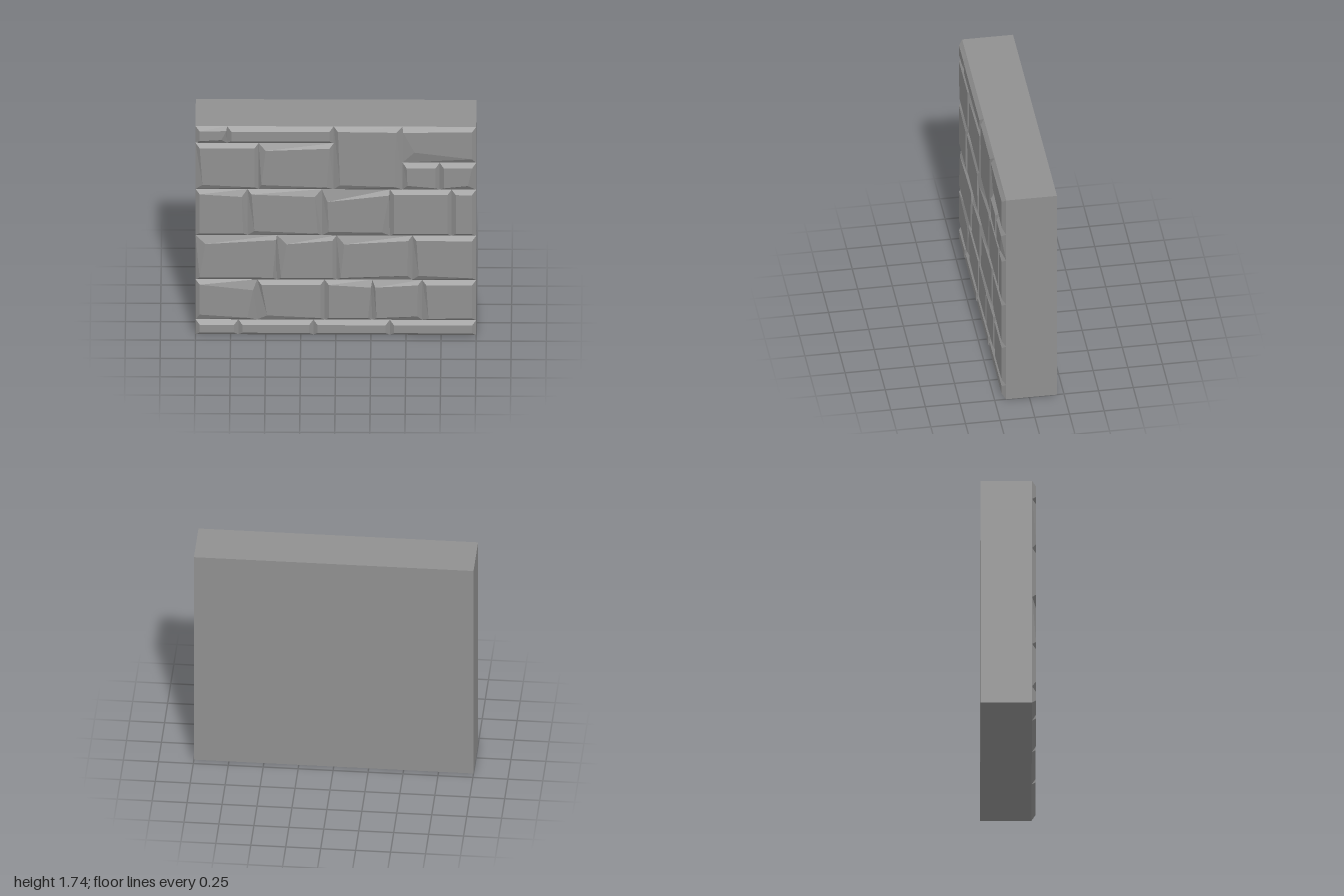
import * as THREE from 'three';

const WALL_FRONT = 0.167, WALL_BACK = -0.2, HEIGHT = 1.74;
const CHAMFER = [0.03, 0.03]; // usual inset of a stone's face corners

// Each course: height range, joint positions, and for the rougher stones
// the corners (b/t = bottom/top, l/r = -x/+x) whose chamfer is wider or narrower
const courses = [
  { y: [0, 0.125], x: [-1, -0.695, -0.16, 0.385, 1], chips: [] },
  {
    y: [0.125, 0.46], x: [-1, -0.56, -0.08, 0.26, 0.615, 1],
    chips: [{ bl: [0.03, 0.055], br: [0.07, 0.03], tr: [0.03, 0.075] }, { bl: [0.07, 0.05] },
      { tr: [0.01, 0.05] }, { br: [0.035, 0.045], tl: [0.02, 0.05] }, { bl: [0.045, 0.025] }],
  },
  {
    y: [0.46, 0.83], x: [-1, -0.42, 0.005, 0.545, 1],
    chips: [{ tl: [0.07, 0.06], tr: [0.005, 0.025] }, { tl: [0.07, 0.06] },
      { br: [0.035, 0.05], tl: [0.055, 0.06] }, { bl: [0.045, 0.05] }],
  },
  {
    y: [0.83, 1.215], x: [-1, -0.63, -0.1, 0.385, 0.825, 1],
    chips: [{ tr: [0.04, 0.05] }, { bl: [0.05, 0.05], tr: [0.05, 0.05] },
      { bl: [0.05, 0.045], br: [0.055, 0.04], tr: [0.005, 0.035], tl: [0.04, 0.09] }],
  },
  {
    y: [1.215, 1.6], x: [-1, -0.55, -0.015],
    chips: [{ bl: [0.05, 0.05] }, { bl: [0.02, 0.05], br: [0.05, 0.03], tl: [0.05, 0.05] }],
  },
  // tall stone spanning two courses
  { y: [1.215, HEIGHT], x: [-0.015, 0.475], chips: [{ bl: [0.045, 0.05], br: [0.055, 0.035], tr: [0.045, 0.035] }] },
  // small pair, standing slightly proud, and the broken stone above it
  { y: [1.215, 1.44], x: [0.475, 0.74, 1], z: 0.2, chips: [{ bl: [0.035, 0.05] }, { br: [0.06, 0.05] }] },
  { y: [1.44, HEIGHT], x: [0.475, 1], chips: [{ bl: [0.085, 0.1], br: [0.03, 0.045], tl: [0.005, 0.035] }] },
  { y: [1.6, HEIGHT], x: [-1, -0.775, -0.015], chips: [{ br: [0.04, 0.04], tr: [0.005, 0.025] }] },
];

// Chamfered block: rectangular foot on the wall, face corners pulled inwards
function stoneGeometry(x0, x1, y0, y1, z, chips) {
  const corners = [['bl', x0, y0, 1, 1], ['br', x1, y0, -1, 1], ['tr', x1, y1, -1, -1], ['tl', x0, y1, 1, -1]];
  const foot = corners.map(([, x, y]) => [x, y, WALL_FRONT]);
  const face = corners.map(([key, x, y, sx, sy]) => {
    const [dx, dy] = chips[key] ?? CHAMFER;
    return [x + sx * dx, y + sy * dy, z];
  });
  const pos = [];
  const quad = (a, b, c, d) => pos.push(...a, ...b, ...c, ...a, ...c, ...d);
  quad(...face);
  for (let i = 0; i < 4; i++) {
    const j = (i + 1) % 4;
    quad(foot[i], foot[j], face[j], face[i]);
  }
  const geo = new THREE.BufferGeometry();
  geo.setAttribute('position', new THREE.Float32BufferAttribute(pos, 3));
  geo.computeVertexNormals();
  return geo;
}

export function createModel() {
  const model = new THREE.Group();
  model.name = 'stoneWall';
  const stone = new THREE.MeshStandardMaterial({ color: 0x909090 });
  stone.name = 'grey stone';

  // Solid wall behind the stones
  const depth = WALL_FRONT - WALL_BACK;
  const slab = new THREE.Mesh(new THREE.BoxGeometry(2, HEIGHT, depth), stone);
  slab.position.set(0, HEIGHT / 2, WALL_BACK + depth / 2);
  slab.name = 'wallSlab';
  model.add(slab);

  // Facing stones, course by course
  courses.forEach(({ y, x, z = 0.195, chips }, c) => {
    const course = new THREE.Group();
    course.name = `course${c + 1}`;
    for (let i = 0; i < x.length - 1; i++) {
      const mesh = new THREE.Mesh(stoneGeometry(x[i], x[i + 1], ...y, z, chips[i] ?? {}), stone);
      mesh.name = `stone${i + 1}`;
      course.add(mesh);
    }
    model.add(course);
  });
  return model;
}
